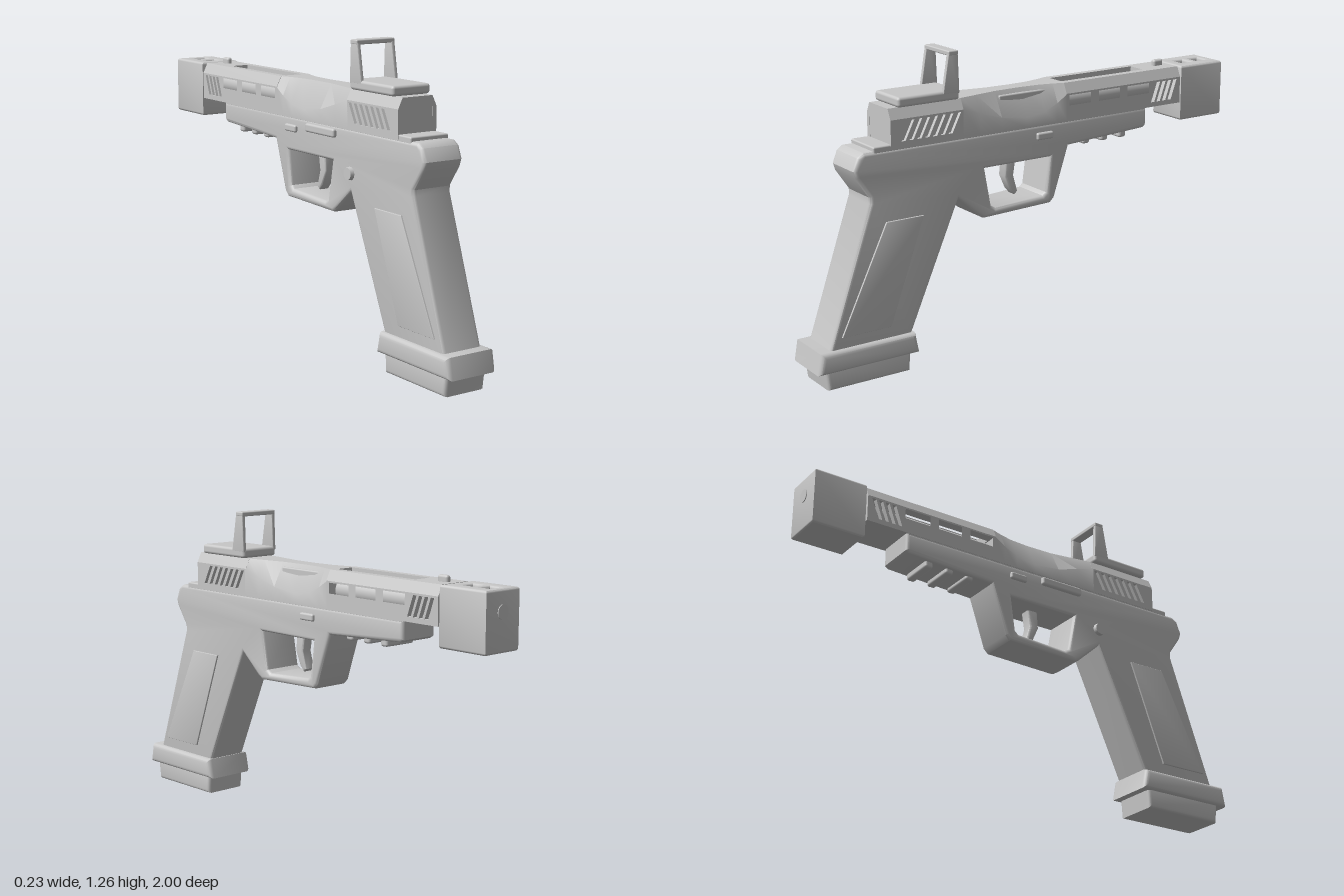
import * as THREE from 'three';
import { toCreasedNormals } from 'three/addons/utils/BufferGeometryUtils.js';
import { RoundedBoxGeometry } from 'three/addons/geometries/RoundedBoxGeometry.js';

const grey = new THREE.MeshStandardMaterial({ color: 0xc8c8c8 });
grey.name = 'light grey';

export function createModel() {
  const model = new THREE.Group();
  model.name = 'targetPistol';

  function add(name, geometry) {
    const mesh = new THREE.Mesh(geometry, grey);
    mesh.name = name;
    model.add(mesh);
    return mesh;
  }

  // Rounded box given by its limits on each axis
  function block(name, x0, x1, y0, y1, z0, z1, r = 0.008) {
    const g = new RoundedBoxGeometry(x1 - x0, y1 - y0, z1 - z0, 2, r);
    g.translate((x0 + x1) / 2, (y0 + y1) / 2, (z0 + z1) / 2);
    return add(name, g);
  }

  function outline(points, holes) {
    const v = (list) => list.map(([a, b]) => new THREE.Vector2(a, b));
    const shape = new THREE.Shape(v(points));
    shape.holes = holes.map((h) => new THREE.Path(v(h)));
    return shape;
  }

  function extrude(shape, depth, bevel) {
    return new THREE.ExtrudeGeometry(shape, {
      depth: depth - 2 * bevel, bevelEnabled: bevel > 0, bevelThickness: bevel,
      bevelSize: bevel, bevelOffset: -bevel, bevelSegments: 3,
    }).translate(0, 0, bevel);
  }

  // Side profile of [z, y] points, spanning x0 to x1
  function side(name, points, x0, x1, bevel = 0, holes = []) {
    const flip = (list) => list.map(([z, y]) => [-z, y]);
    const g = extrude(outline(flip(points), holes.map(flip)), x1 - x0, bevel);
    g.rotateY(Math.PI / 2).translate(x0, 0, 0);
    return add(name, toCreasedNormals(g, 0.6));
  }

  const rect = (a0, a1, b0, b1) => [[a0, b0], [a1, b0], [a1, b1], [a0, b1]];

  // Plan rectangle with rectangular holes, rising from y0 to y1
  function plan(x, z0, z1, y0, y1, bevel, holes) {
    const shape = outline(rect(-x, x, -z1, -z0),
      holes.map(([a, b, c, d]) => rect(a, b, -d, -c)));
    return extrude(shape, y1 - y0, bevel).rotateX(-Math.PI / 2).translate(0, y0, 0);
  }

  // Frame with grip and trigger guard
  side('frame', [
    [0.77, 0.912], [0.795, 0.895], [0.815, 0.845], [0.805, 0.815], [0.75, 0.735],
    [0.75, 0.71], [0.945, 0.14], [0.585, 0.14], [0.355, 0.665], [0.26, 0.58],
    [0.235, 0.565], [-0.09, 0.575], [-0.11, 0.595], [-0.18, 0.805],
    [-0.57, 0.825], [-0.585, 0.835], [-0.585, 0.912],
  ], -0.09, 0.09, 0.015, [[
    [0.23, 0.77], [-0.085, 0.77], [-0.065, 0.625], [-0.05, 0.612], [0.18, 0.6], [0.2, 0.612],
  ]]);
  block('frameRail', -0.088, 0.088, 0.9, 0.928, -0.58, 0.73, 0.006);
  for (const z of [-0.28, -0.375, -0.47]) {
    block('underRib', -0.075, 0.075, 0.795, 0.84, z - 0.018, z + 0.018, 0.01);
  }

  // Grip panels, magazine well and magazine foot
  for (const s of [-1, 1]) {
    side('gripPanel', [[0.685, 0.63], [0.52, 0.63], [0.675, 0.205], [0.89, 0.205]],
      s * 0.0925 - 0.0045, s * 0.0925 + 0.0045, 0.002);
  }
  side('magazineWell', [[0.985, 0.16], [1, 0.075], [0.555, 0.075], [0.572, 0.16]],
    -0.113, 0.113, 0.02);
  side('magazineFoot', [[0.965, 0.09], [0.953, 0], [0.593, 0], [0.587, 0.09]],
    -0.095, 0.095, 0.015);

  // Trigger and controls
  side('trigger', [
    [0.085, 0.79], [0.035, 0.79], [0.05, 0.7], [0.03, 0.63], [0.045, 0.618],
    [0.065, 0.64], [0.092, 0.7],
  ], -0.025, 0.025, 0.008);
  block('rightPin', 0.08, 0.102, 0.85, 0.88, -0.095, -0.015, 0.008);
  block('leftPin', -0.102, -0.08, 0.85, 0.88, -0.095, -0.015, 0.008);
  block('slideStop', -0.106, -0.08, 0.865, 0.9, 0.06, 0.26, 0.009);
  const release = new THREE.CylinderGeometry(0.024, 0.028, 0.026, 24).rotateZ(Math.PI / 2);
  add('magazineRelease', release).position.set(-0.093, 0.738, 0.355);

  // Slanted groove outlines for the slide walls
  const grooves = (n, z, step, lean, y0, y1) => Array.from({ length: n }, (_, i) => {
    const c = z - i * step;
    return [[c + 0.009, y0], [c - 0.009, y0], [c - lean - 0.009, y1], [c - lean + 0.009, y1]];
  });

  // Slide section: pierced side walls under a roof with sloping edges
  function slideSection(name, z0, z1, wallHoles, slots) {
    for (const s of [-1, 1]) {
      side(name + 'Wall', rect(z0, z1, 0.91, 1.022), s * 0.08 - 0.01, s * 0.08 + 0.01, 0, wallHoles);
    }
    const roof = plan(0.09, z0, z1, 1.022, 1.064, 0, slots);
    const p = roof.attributes.position;
    for (let i = 0; i < p.count; i++) {
      if (p.getY(i) > 1.05 && Math.abs(p.getX(i)) > 0.08) p.setX(i, Math.sign(p.getX(i)) * 0.07);
    }
    roof.computeVertexNormals();
    add(name + 'Roof', roof);
  }

  slideSection('rearSlide', 0.33, 0.655, grooves(7, 0.6, 0.035, 0.04, 0.935, 1.014), []);
  block('rearSlideCore', -0.075, 0.075, 0.91, 1.03, 0.33, 0.654, 0.002);
  const windows = [[-0.29, -0.18], [-0.44, -0.33], [-0.595, -0.48]]
    .map(([a, b]) => rect(a, b, 0.972, 1.015));
  slideSection('frontSlide', -0.765, -0.165,
    [...windows, ...grooves(4, -0.617, 0.03, 0.03, 0.93, 1.014)],
    [[-0.04, 0.038, -0.6, -0.175]]);
  block('frontSlideFloor', -0.075, 0.075, 0.91, 0.925, -0.76, -0.165, 0.002);
  block('frontSlideEnd', -0.075, 0.075, 0.91, 1.03, -0.764, -0.745, 0.002);

  // Waisted middle of the slide: rows of z, shoulder height, half width of top
  const rows = [
    [0.335, 1.022, 0.07], [0.25, 0.995, 0.055], [0.15, 0.965, 0.038], [0.03, 0.95, 0.034],
    [-0.06, 0.962, 0.04], [-0.12, 0.99, 0.054], [-0.17, 1.022, 0.07],
  ];
  const pos = [];
  const index = [];
  rows.forEach(([z, y, w]) => {
    for (const [a, b] of [[0.09, 0.91], [0.09, y], [w, 1.064], [-w, 1.064], [-0.09, y], [-0.09, 0.91]]) {
      pos.push(a, b, z);
    }
  });
  for (let r = 0; r < rows.length - 1; r++) {
    for (let k = 0; k < 6; k++) {
      const a = r * 6 + k, b = r * 6 + (k + 1) % 6;
      index.push(a, a + 6, b, b, a + 6, b + 6);
    }
  }
  for (let k = 1; k < 5; k++) {
    const e = (rows.length - 1) * 6;
    index.push(0, k, k + 1, e, e + k + 1, e + k);
  }
  const loft = new THREE.BufferGeometry();
  loft.setAttribute('position', new THREE.Float32BufferAttribute(pos, 3));
  loft.setIndex(index);
  add('middleSlide', toCreasedNormals(loft, 0.5));
  block('ejectionBlock', 0.01, 0.056, 0.995, 1.046, -0.095, 0.14, 0.006);

  // Barrel and muzzle block with two top ports
  const barrel = new THREE.CylinderGeometry(0.046, 0.046, 0.65, 32).rotateX(Math.PI / 2);
  add('barrel', barrel).position.set(0, 0.98, -0.46);
  const tip = new THREE.CylinderGeometry(0.028, 0.028, 0.05, 24).rotateX(Math.PI / 2);
  add('barrelTip', tip).position.set(0, 0.982, -0.975);
  const ports = [[-0.028, 0.028, -0.96, -0.91], [-0.028, 0.028, -0.875, -0.827]];
  add('muzzleBlock', toCreasedNormals(plan(0.09, -0.997, -0.772, 0.83, 1.066, 0.01, ports), 0.6));
  block('muzzleCore', -0.05, 0.05, 0.83, 1.03, -0.975, -0.79, 0.004);

  // Sights
  block('frontSight', -0.012, 0.012, 1.055, 1.09, -0.735, -0.685, 0.01);
  block('sightBase', -0.089, 0.089, 1.064, 1.104, 0.345, 0.62, 0.012);
  for (const s of [-1, 1]) {
    side('sightPost', [[0.42, 1.09], [0.392, 1.255], [0.352, 1.255], [0.346, 1.09]],
      s * 0.081 - 0.008, s * 0.081 + 0.008, 0.003);
  }
  block('sightBar', -0.09, 0.09, 1.238, 1.257, 0.35, 0.394, 0.005);

  return model;
}
